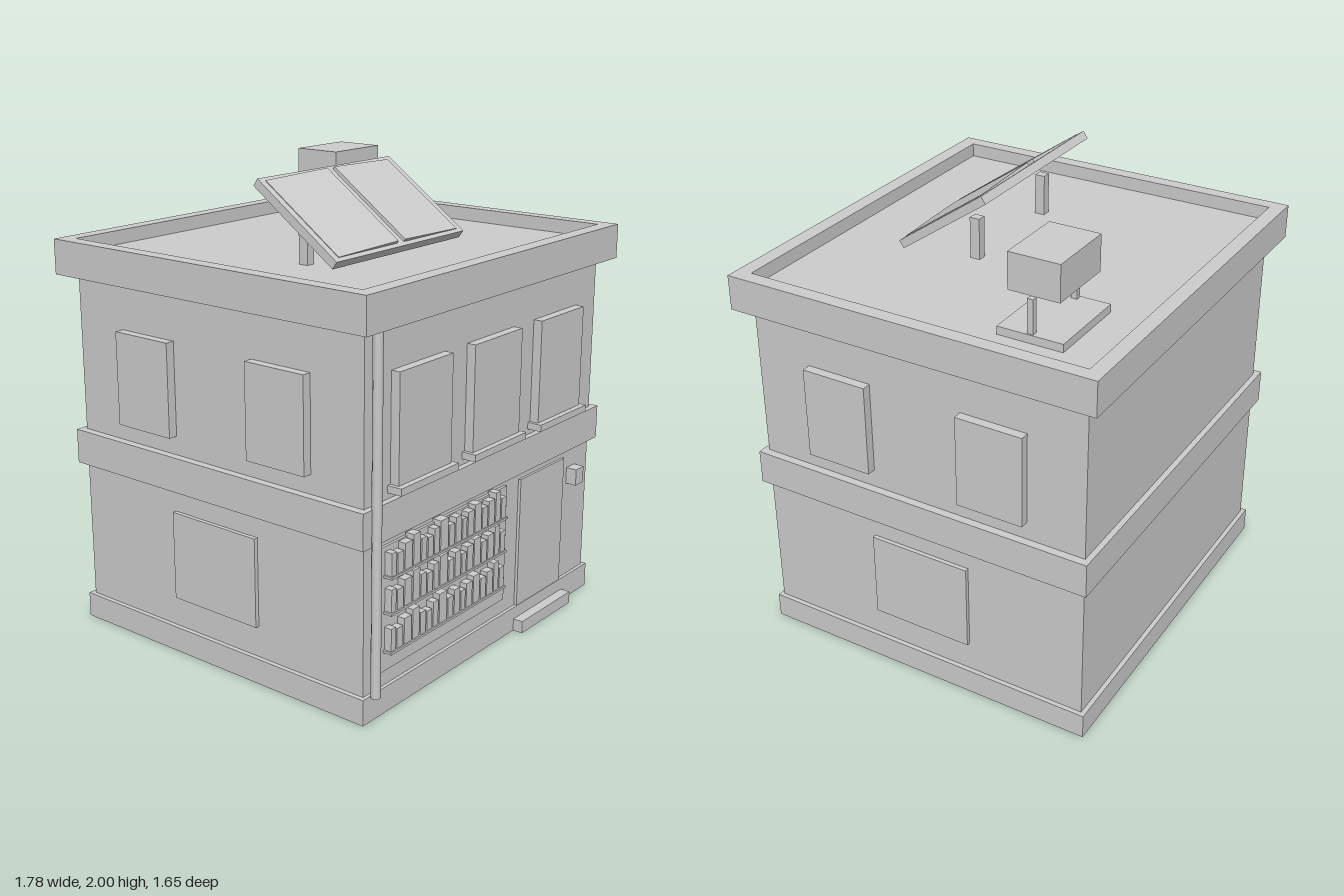
import * as THREE from 'three';

export function createModel() {
  const group = new THREE.Group();
  const stone = new THREE.MeshStandardMaterial({ color: 0xcccccc, side: THREE.DoubleSide });
  stone.name = 'plain grey';

  const add = (name, geometry, parent = group) => {
    const mesh = new THREE.Mesh(geometry, stone);
    mesh.name = name;
    parent.add(mesh);
    return mesh;
  };
  // Box without its underside, given by its limits on each axis
  const box = (name, x0, x1, y0, y1, z0, z1, parent = group) => {
    const geometry = new THREE.BoxGeometry(x1 - x0, y1 - y0, z1 - z0);
    const index = Array.from(geometry.index.array);
    index.splice(18, 6);
    geometry.setIndex(index);
    geometry.clearGroups();
    const mesh = add(name, geometry, parent);
    mesh.position.set((x0 + x1) / 2, (y0 + y1) / 2, (z0 + z1) / 2);
    return mesh;
  };

  // Main block with base, middle band and hollow cornice
  box('base', -0.84, 0.84, 0, 0.11, -0.78, 0.775);
  box('walls', -0.82, 0.82, 0.11, 1.56, -0.76, 0.76);
  box('middleBand', -0.855, 0.855, 0.73, 0.88, -0.785, 0.785);
  box('cornice', -0.888, 0.888, 1.56, 1.65, -0.825, 0.822);

  // Parapet: rim around the sunken roof
  box('parapetFront', -0.888, 0.888, 1.65, 1.71, 0.755, 0.822);
  box('parapetBack', -0.888, 0.888, 1.65, 1.71, -0.825, -0.76);
  box('parapetLeft', 0.825, 0.888, 1.65, 1.71, -0.76, 0.755);
  box('parapetRight', -0.888, -0.825, 1.65, 1.71, -0.76, 0.755);

  // Upper front windows with sills
  for (const x of [-0.49, 0, 0.49]) {
    box('frontWindow', x - 0.17, x + 0.17, 0.935, 1.38, 0.75, 0.8);
    box('windowSill', x - 0.187, x + 0.187, 0.905, 0.935, 0.75, 0.825);
  }

  // Side windows, mirrored
  for (const s of [-1, 1]) {
    const side = (name, out, y0, y1, z0, z1) => {
      const xs = [0.8 * s, out * s].sort((a, b) => a - b);
      box(name, xs[0], xs[1], y0, y1, z0, z1);
    };
    side('upperSideWindow', 0.86, 0.96, 1.36, 0.21, 0.505);
    side('upperSideWindow', 0.86, 0.96, 1.36, -0.505, -0.21);
    side('lowerSideWindow', 0.838, 0.245, 0.63, -0.23, 0.225);
  }

  // Shop front
  box('shopWindow', -0.765, 0.135, 0.18, 0.7, 0.75, 0.773);
  box('door', 0.245, 0.6, 0.11, 0.695, 0.75, 0.773);
  box('doorStep', 0.222, 0.622, 0, 0.055, 0.75, 0.82);
  box('wallLamp', 0.647, 0.711, 0.56, 0.635, 0.75, 0.81);

  // Shelves of books: left edges and heights; each book nearly meets the next
  const edges = [-0.705, -0.668, -0.622, -0.567, -0.515, -0.472, -0.43, -0.388, -0.328,
    -0.284, -0.236, -0.198, -0.148, -0.094, -0.048, 0.004, 0.047, 0.09];
  const heights = [0.095, 0.085, 0.11, 0.128, 0.095, 0.085, 0.108, 0.128, 0.09,
    0.11, 0.088, 0.106, 0.122, 0.092, 0.106, 0.128, 0.092];
  for (const y of [0.262, 0.425, 0.575]) {
    const row = new THREE.Group();
    row.name = 'bookRow';
    group.add(row);
    box('shelf', -0.713, 0.088, y, y + 0.01, 0.765, 0.812, row);
    heights.forEach((h, i) =>
      box('book', edges[i], edges[i + 1] - 0.008, y + 0.01, y + 0.01 + h, 0.765, 0.806, row));
  }

  // Corner downpipe
  const pipe = add('downpipe', new THREE.CylinderGeometry(0.02, 0.02, 1.45, 10));
  pipe.position.set(-0.789, 0.835, 0.797);

  // Large open book tilted on the roof
  const openBook = new THREE.Group();
  openBook.name = 'openBook';
  openBook.position.set(-0.133, 1.844, 0.205);
  openBook.rotation.x = 0.611;
  group.add(openBook);
  box('bookCover', -0.422, 0.422, -0.0185, 0.0185, -0.244, 0.244, openBook);
  for (const s of [-1, 1]) {
    const page = add('pageBlock', new THREE.BoxGeometry(0.37, 0.03, 0.45), openBook);
    page.position.set(0.207 * s, 0.012, 0);
    page.rotation.z = -0.03 * s;
  }
  for (const x of [-0.4, 0.135]) {
    box('bookPost', x - 0.02, x + 0.02, 1.65, 1.83, 0.11, 0.155);
  }

  // Roof box on two legs over a plate
  box('roofPlate', 0.3, 0.675, 1.65, 1.685, -0.572, -0.287);
  box('roofBox', 0.334, 0.645, 1.83, 1.985, -0.54, -0.317);
  for (const x of [0.319, 0.657]) {
    box('roofBoxLeg', x - 0.012, x + 0.012, 1.68, 1.83, -0.441, -0.415);
  }

  return group;
}
